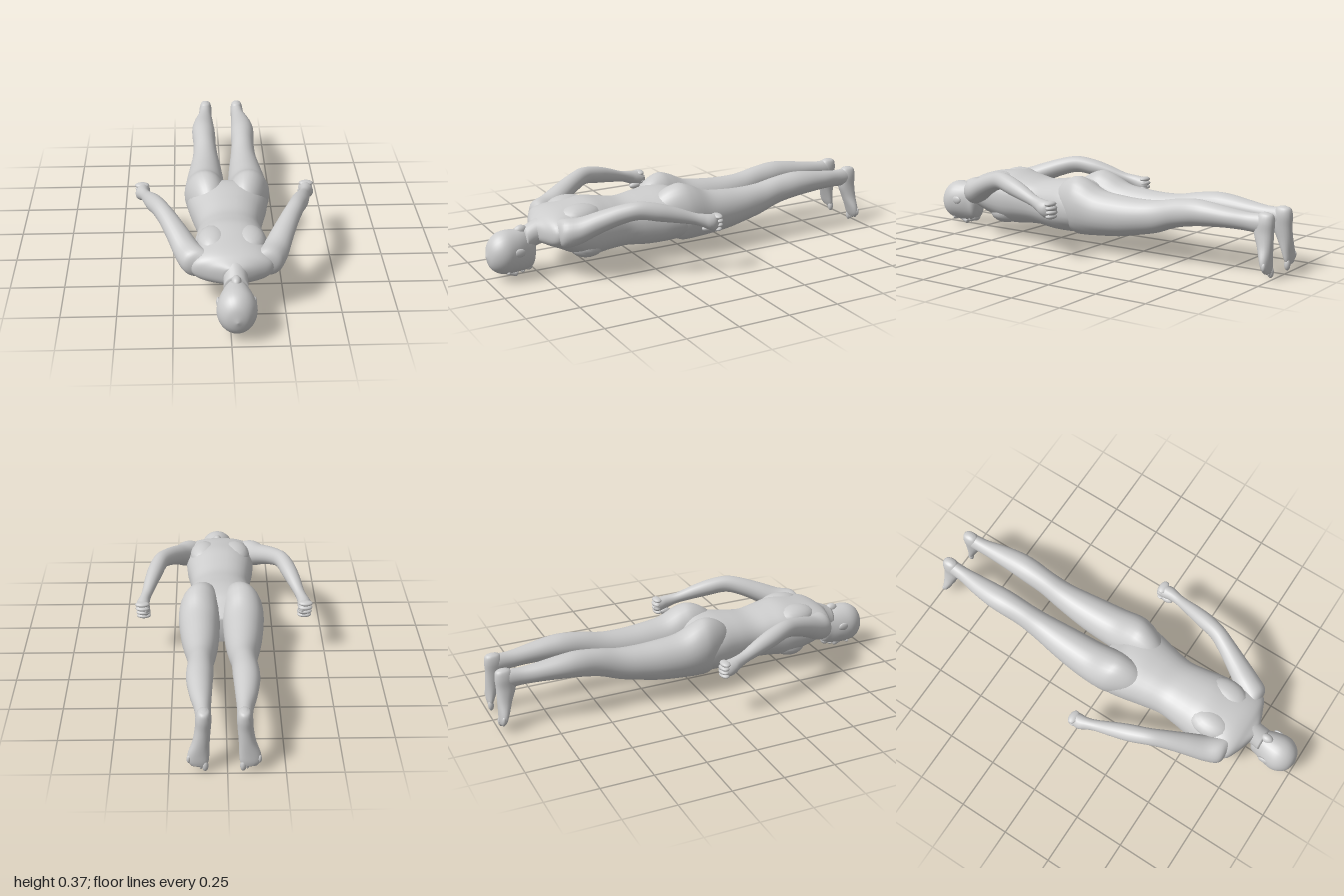
import * as THREE from 'three';

const skin = new THREE.MeshStandardMaterial({ color: 0xcccccc });
const X = new THREE.Vector3(1, 0, 0), Y = new THREE.Vector3(0, 1, 0), Z = new THREE.Vector3(0, 0, 1);
const MID = 0.014; // the body's mid line

// Smooth skin through rows of [x, y, z, radius along u, radius along v]; power > 2 squares the section
function loft(name, rows, u = X, v = Y, power = 2, sides = 28, perRow = 5) {
  const path = new THREE.CatmullRomCurve3(rows.map(r => new THREE.Vector3(r[0], r[1], r[2])), false, 'catmullrom', 0.5);
  const size = new THREE.CatmullRomCurve3(rows.map(r => new THREE.Vector3(r[3], r[4], 0)), false, 'catmullrom', 0.5);
  const n = (rows.length - 1) * perRow, pos = [], idx = [];
  const along = path.getPoint(1).sub(path.getPoint(0));
  const uu = u.clone();
  if (new THREE.Vector3().crossVectors(u, v).dot(along) < 0) uu.negate();
  const bend = c => Math.sign(c) * Math.abs(c) ** (2 / power);
  for (let i = 0; i <= n; i++) {
    const c = path.getPoint(i / n), s = size.getPoint(i / n);
    for (let j = 0; j < sides; j++) {
      const a = (j / sides) * Math.PI * 2;
      const p = c.clone().addScaledVector(uu, bend(Math.cos(a)) * Math.max(s.x, 0.001))
        .addScaledVector(v, bend(Math.sin(a)) * Math.max(s.y, 0.001));
      pos.push(p.x, p.y, p.z);
      if (i === n) continue;
      const k = i * sides, a0 = k + j, a1 = k + (j + 1) % sides;
      idx.push(a0, a1, a0 + sides, a1, a1 + sides, a0 + sides);
    }
  }
  // close both ends
  for (const [ring, t] of [[0, 0], [n, 1]]) {
    const c = path.getPoint(t), m = pos.length / 3;
    pos.push(c.x, c.y, c.z);
    for (let j = 0; j < sides; j++) {
      const a = ring * sides + j, b = ring * sides + (j + 1) % sides;
      idx.push(...(ring ? [a, b, m] : [b, a, m]));
    }
  }
  const g = new THREE.BufferGeometry();
  g.setAttribute('position', new THREE.Float32BufferAttribute(pos, 3));
  g.setIndex(idx);
  g.computeVertexNormals();
  const mesh = new THREE.Mesh(g, skin);
  mesh.name = name;
  return mesh;
}

function blob(name, x, y, z, rx, ry, rz) {
  const mesh = new THREE.Mesh(new THREE.SphereGeometry(1, 16, 12), skin);
  mesh.name = name;
  mesh.position.set(x, y, z);
  mesh.scale.set(rx, ry, rz);
  return mesh;
}

function makeHead() {
  const head = new THREE.Group(), x = 0.025;
  head.name = 'head';
  // skull and jaw, face down
  head.add(loft('skull', [
    [x, 0.13, 0.765, 0.02, 0.05], [x, 0.122, 0.783, 0.05, 0.08], [x, 0.126, 0.815, 0.062, 0.097],
    [x, 0.128, 0.865, 0.08, 0.102], [x, 0.128, 0.915, 0.088, 0.102], [x, 0.126, 0.955, 0.076, 0.088],
    [x, 0.123, 0.985, 0.048, 0.056], [x, 0.12, 1.0, 0.004, 0.004]]));
  head.add(loft('neck', [
    [x - 0.006, 0.215, 0.68, 0.1, 0.06], [x - 0.004, 0.208, 0.73, 0.068, 0.062],
    [x, 0.195, 0.77, 0.054, 0.06], [x, 0.17, 0.82, 0.055, 0.06]]));
  head.add(blob('chin', x, 0.045, 0.8, 0.026, 0.022, 0.02));
  head.add(blob('lips', x, 0.029, 0.83, 0.024, 0.013, 0.011));
  head.add(loft('nose', [
    [x, 0.03, 0.915, 0.006, 0.008], [x, 0.022, 0.885, 0.01, 0.012],
    [x, 0.018, 0.86, 0.015, 0.016], [x, 0.03, 0.848, 0.008, 0.008]], X, Y, 2, 12));
  head.add(blob('hairKnot', x, 0.222, 0.83, 0.022, 0.024, 0.032));
  for (const s of [1, -1]) {
    head.add(blob('brow', x + s * 0.03, 0.04, 0.91, 0.026, 0.012, 0.01));
    head.add(blob('eye', x + s * 0.031, 0.045, 0.892, 0.014, 0.011, 0.009));
    head.add(blob('ear', x + s * 0.079, 0.14, 0.865, 0.009, 0.02, 0.028));
  }
  return head;
}

function makeArm(s) {
  const arm = new THREE.Group();
  arm.name = s > 0 ? 'leftArm' : 'rightArm';
  const place = (x, z) => s * x + 0.015 * Math.max(z, 0) / 0.7;
  const across = new THREE.Vector3(0.9, 0, s * 0.42).normalize();
  arm.add(loft('armSkin', [
    [0.11, 0.225, 0.69, 0.05, 0.05], [0.155, 0.225, 0.67, 0.066, 0.068], [0.193, 0.238, 0.61, 0.062, 0.062],
    [0.232, 0.275, 0.53, 0.053, 0.053], [0.275, 0.31, 0.44, 0.044, 0.046], [0.31, 0.326, 0.365, 0.04, 0.042],
    [0.338, 0.312, 0.28, 0.041, 0.042], [0.36, 0.292, 0.2, 0.035, 0.036], [0.38, 0.268, 0.12, 0.027, 0.028],
    [0.391, 0.254, 0.075, 0.029, 0.032], [0.397, 0.243, 0.04, 0.037, 0.038],
    [0.398, 0.238, 0.012, 0.036, 0.038], [0.398, 0.236, -0.01, 0.018, 0.02],
  ].map(([x, ...r]) => [place(x, r[1]), ...r]), across, Y, 2, 22));
  // curled fingers and thumb
  for (let i = 0; i < 4; i++)
    arm.add(blob('finger', s * (0.4 - i * 0.002), 0.268 - i * 0.02, 0.002 + Math.abs(i - 1.5) * 0.004, 0.035, 0.0125, 0.023));
  arm.add(blob('thumb', s * 0.378, 0.208, 0.042, 0.016, 0.017, 0.032));
  return arm;
}

function makeLeg(s) {
  const leg = new THREE.Group();
  leg.name = s > 0 ? 'leftLeg' : 'rightLeg';
  const at = ([x, ...r]) => [MID + s * x, ...r];
  // buttock, thigh, knee, calf and ankle
  leg.add(loft('legSkin', [
    [0.08, 0.215, 0.2, 0.04, 0.05], [0.089, 0.222, 0.13, 0.078, 0.104], [0.1, 0.215, 0.06, 0.098, 0.139],
    [0.106, 0.207, 0, 0.102, 0.134], [0.106, 0.19, -0.09, 0.098, 0.11], [0.103, 0.188, -0.2, 0.09, 0.098],
    [0.1, 0.195, -0.3, 0.079, 0.086], [0.098, 0.209, -0.4, 0.066, 0.077], [0.1, 0.237, -0.5, 0.059, 0.068],
    [0.103, 0.253, -0.6, 0.061, 0.063], [0.104, 0.255, -0.68, 0.058, 0.056], [0.099, 0.25, -0.78, 0.048, 0.046],
    [0.091, 0.243, -0.87, 0.036, 0.042], [0.087, 0.24, -0.94, 0.033, 0.045], [0.086, 0.24, -0.97, 0.024, 0.036],
  ].map(at)));
  // foot, toes pointing down
  leg.add(loft('foot', [
    [0.086, 0.294, -0.95, 0.008, 0.012], [0.086, 0.283, -0.952, 0.025, 0.035], [0.087, 0.25, -0.948, 0.034, 0.046],
    [0.09, 0.2, -0.946, 0.034, 0.046], [0.098, 0.14, -0.958, 0.037, 0.035], [0.109, 0.085, -0.969, 0.046, 0.024],
    [0.111, 0.05, -0.976, 0.045, 0.017], [0.107, 0.028, -0.98, 0.032, 0.01],
  ].map(at), X, Z, 2.2, 20));
  for (let i = 0; i < 5; i++) {
    const r = i ? 0.0095 : 0.014;
    leg.add(blob('toe', MID + s * (0.081 + i * 0.0175), 0.027 + i * 0.0085, -0.98, r, 0.027 - i * 0.002, r));
  }
  return leg;
}

export function createModel() {
  const model = new THREE.Group();
  model.name = 'lyingFigure';
  // trunk from collar to crotch
  model.add(loft('torso', [
    [0.02, 0.208, 0.772, 0.04, 0.04], [MID, 0.21, 0.745, 0.115, 0.056], [MID, 0.214, 0.715, 0.175, 0.073],
    [MID, 0.212, 0.67, 0.186, 0.092], [MID, 0.2, 0.6, 0.178, 0.116], [MID, 0.192, 0.5, 0.17, 0.134],
    [MID, 0.188, 0.41, 0.156, 0.123], [MID, 0.183, 0.32, 0.147, 0.115], [MID, 0.184, 0.22, 0.164, 0.126],
    [MID, 0.19, 0.12, 0.187, 0.13], [MID, 0.187, 0.04, 0.195, 0.119], [MID, 0.165, -0.02, 0.17, 0.09],
    [MID, 0.155, -0.06, 0.09, 0.06],
  ], X, Y, 2.25, 36));
  // shoulder blades and chest
  for (const s of [1, -1]) {
    model.add(blob('shoulderBlade', MID + s * 0.08, 0.265, 0.56, 0.075, 0.058, 0.11));
    model.add(blob('chest', MID + s * 0.078, 0.118, 0.53, 0.074, 0.055, 0.085));
    model.add(makeArm(s), makeLeg(s));
  }
  model.add(makeHead());
  return model;
}
